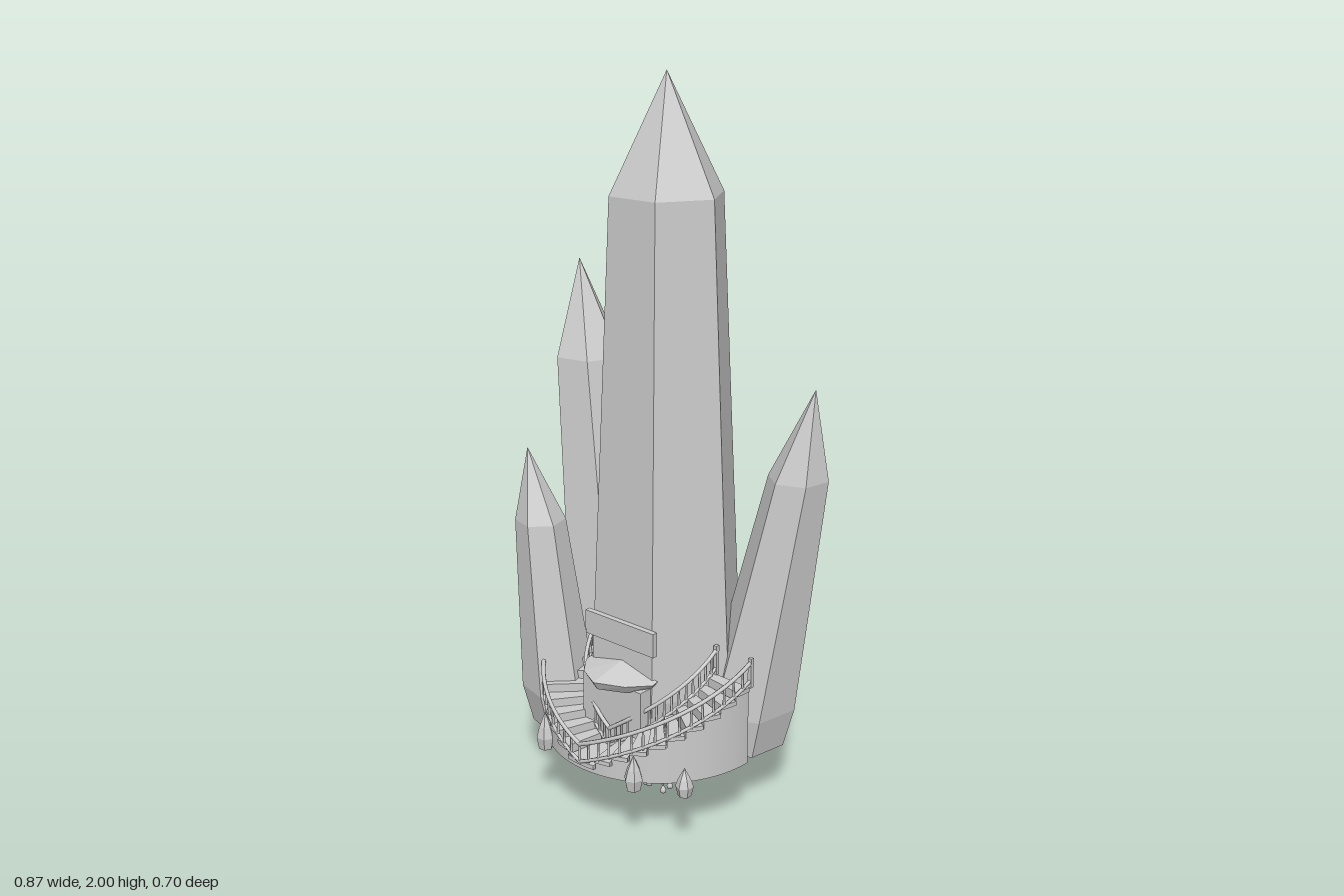
import * as THREE from 'three';
import { ConvexGeometry } from 'three/addons/geometries/ConvexGeometry.js';

const CX = 0.025, GROUND = 0.2;

export function createModel() {
  const root = new THREE.Group();
  root.name = 'crystalTower';
  const flat = new THREE.MeshStandardMaterial({ color: 0xcccccc, flatShading: true });
  const smooth = new THREE.MeshStandardMaterial({ color: 0xcccccc });
  const add = (name, geo, x = 0, y = 0, z = 0, mat = flat, parent = root) => {
    const m = new THREE.Mesh(geo, mat);
    m.name = name;
    m.position.set(x, y, z);
    parent.add(m);
    return m;
  };

  // Hexagonal crystal lofted through rings [x, y, z, radius], ending in a tip
  const crystal = (name, rings, tip, turn = 0) => {
    const pos = [], n = 6;
    const pt = ([x, y, z, r], i) => {
      const a = turn + (i / n) * Math.PI * 2;
      return [x + r * Math.cos(a), y, z + r * Math.sin(a)];
    };
    const tri = (a, b, c) => pos.push(...a, ...b, ...c);
    const top = rings[rings.length - 1];
    for (let i = 0; i < n; i++) {
      tri(rings[0].slice(0, 3), pt(rings[0], i), pt(rings[0], i + 1));
      for (let k = 0; k < rings.length - 1; k++) {
        const a = pt(rings[k], i), b = pt(rings[k], i + 1);
        const c = pt(rings[k + 1], i), d = pt(rings[k + 1], i + 1);
        tri(a, c, b);
        tri(b, c, d);
      }
      tri(pt(top, i), tip, pt(top, i + 1));
    }
    const g = new THREE.BufferGeometry();
    g.setAttribute('position', new THREE.Float32BufferAttribute(pos, 3));
    g.computeVertexNormals();
    return add(name, g);
  };

  // Main tower and its three leaning companions
  crystal('mainTower', [[CX, 0.2, -0.012, 0.19], [CX, 0.36, -0.015, 0.22], [CX, 1.695, -0.01, 0.155]],
    [CX, 2, -0.008]);
  crystal('backLeftCrystal', [[-0.21, 0.19, -0.06, 0.115], [-0.215, 0.3, -0.062, 0.14], [-0.337, 1.2, -0.095, 0.1]],
    [-0.38, 1.465, -0.105], 0.87);
  crystal('backRightCrystal', [[0.23, 0.185, -0.105, 0.115], [0.245, 0.3, -0.108, 0.13], [0.355, 0.97, -0.155, 0.082]],
    [0.395, 1.215, -0.165], 0.7);
  crystal('frontLeftCrystal', [[-0.235, 0.18, 0.14, 0.085], [-0.245, 0.29, 0.145, 0.103], [-0.288, 0.785, 0.16, 0.07]],
    [-0.32, 0.99, 0.172], 0.26);

  // Small shards around the foot: x, z, radius, height
  [[-0.025, -0.29, 0.032, 0.11], [0.115, -0.33, 0.02, 0.06], [-0.14, -0.21, 0.038, 0.12],
    [0.19, -0.205, 0.037, 0.12], [-0.335, 0.1, 0.024, 0.09], [0.19, 0.205, 0.017, 0.1],
    [0.31, 0.245, 0.024, 0.07], [0.19, 0.31, 0.026, 0.09], [-0.14, 0.305, 0.026, 0.1]]
    .forEach(([x, z, r, h], i) => crystal('shard' + (i + 1),
      [[x, GROUND - 0.01, z, r * 0.75], [x, GROUND + h * 0.25, z, r], [x, GROUND + h * 0.55, z, r * 0.7]],
      [x, GROUND + h, z], i * 1.3));

  // Twin curved stairs rising from the front to both sides
  const SZ = 0.02, R0 = 0.2, R1 = 0.322, STEPS = 10, Q = Math.PI / 2;
  const stairY = t => 0.215 + 0.225 * t;
  const onArc = (side, t, r, y) => new THREE.Vector3(
    CX + side * r * Math.sin(t * Q), y, SZ + r * Math.cos(t * Q));
  for (const side of [1, -1]) {
    const stair = new THREE.Group();
    stair.name = side > 0 ? 'leftStair' : 'rightStair';
    root.add(stair);
    const sector = (t0, t1, r0, r1, h) => {
      const a = -Q + side * t0 * Q, b = -Q + side * t1 * Q;
      const lo = Math.min(a, b), hi = Math.max(a, b);
      const s = new THREE.Shape();
      s.absarc(0, 0, r1, lo, hi, false);
      s.absarc(0, 0, r0, hi, lo, true);
      return new THREE.ExtrudeGeometry(s, { depth: h, bevelEnabled: false, curveSegments: 2 })
        .rotateX(-Math.PI / 2);
    };
    for (let i = 0; i < STEPS; i++) {
      const t0 = i / STEPS, t1 = (i + 1) / STEPS, y = stairY(t0 + 0.05);
      add('stepBlock', sector(t0, t1, R0 + 0.005, R1 - 0.006, y - 0.012 - GROUND), CX, GROUND, SZ, flat, stair);
      add('tread', sector(t0, t1 - 0.008, R0, R1, 0.012), CX, y - 0.012, SZ, flat, stair);
    }
    // Handrails and balusters
    for (const [r, name] of [[R1 - 0.001, 'outer'], [R0 + 0.004, 'inner']]) {
      const path = off => new THREE.CatmullRomCurve3(
        Array.from({ length: 17 }, (_, i) => onArc(side, i / 16, r, stairY(i / 16) + off)));
      add(name + 'Handrail', new THREE.TubeGeometry(path(0.06), 32, 0.006, 6), 0, 0, 0, smooth, stair);
      add(name + 'Stringer', new THREE.TubeGeometry(path(0.008), 32, 0.005, 6), 0, 0, 0, smooth, stair);
      for (let i = 0; i <= 16; i++) {
        const p = onArc(side, i / 16, r, stairY(i / 16) + 0.032);
        add(name + 'Baluster', new THREE.CylinderGeometry(0.003, 0.004, 0.06, 6), p.x, p.y, p.z, smooth, stair);
      }
      const e = onArc(side, 1, r, stairY(1) + 0.03);
      add(name + 'Newel', new THREE.BoxGeometry(0.011, 0.085, 0.011), e.x, e.y, e.z, flat, stair);
    }
  }

  // Porch, pointed canopy and panel above the entrance
  add('porch', new THREE.BoxGeometry(0.21, 0.21, 0.06), CX, 0.305, 0.185);
  const canopy = [[0, 0.46, 0.17], [0, 0.435, 0.285], [0, 0.41, 0.27]];
  for (const s of [1, -1]) {
    canopy.push([s * 0.122, 0.432, 0.165], [s * 0.122, 0.428, 0.185],
      [s * 0.075, 0.43, 0.243], [s * 0.1, 0.402, 0.165], [s * 0.065, 0.405, 0.23]);
  }
  add('canopy', new ConvexGeometry(canopy.map(p => new THREE.Vector3(...p))), CX);
  add('entrancePanel', new THREE.BoxGeometry(0.245, 0.068, 0.016), CX, 0.542, 0.176);

  // Hanging lamp beneath the tower
  const lamp = new THREE.Group();
  lamp.name = 'hangingLamp';
  lamp.position.set(CX, 0, 0.025);
  root.add(lamp);
  add('hatch', new THREE.BoxGeometry(0.13, 0.012, 0.1), 0, 0.196, 0, flat, lamp);
  add('lampRod', new THREE.CylinderGeometry(0.006, 0.006, 0.06, 8), 0, 0.175, 0, smooth, lamp);
  add('lampHub', new THREE.SphereGeometry(0.025, 16, 10), 0, 0.15, 0, smooth, lamp);
  const drop = new THREE.LatheGeometry(
    [[0, -0.013], [0.008, -0.008], [0.009, 0], [0.004, 0.009], [0, 0.016]].map(p => new THREE.Vector2(...p)), 10);
  for (let i = 0; i < 7; i++) {
    const a = (i / 7) * Math.PI * 2 + 0.4, r = 0.035 + 0.02 * (i % 2), y = [0.016, 0.05, 0.03][i % 3];
    const end = new THREE.Vector3(r * Math.cos(a), y, r * Math.sin(a));
    const bend = new THREE.Vector3(end.x * 0.7, 0.09, end.z * 0.7);
    const arm = new THREE.QuadraticBezierCurve3(new THREE.Vector3(0, 0.145, 0), bend, end);
    add('lampArm', new THREE.TubeGeometry(arm, 6, 0.0035, 5), 0, 0, 0, smooth, lamp);
    add('lampDrop', drop, end.x, end.y, end.z, smooth, lamp);
  }
  return root;
}
